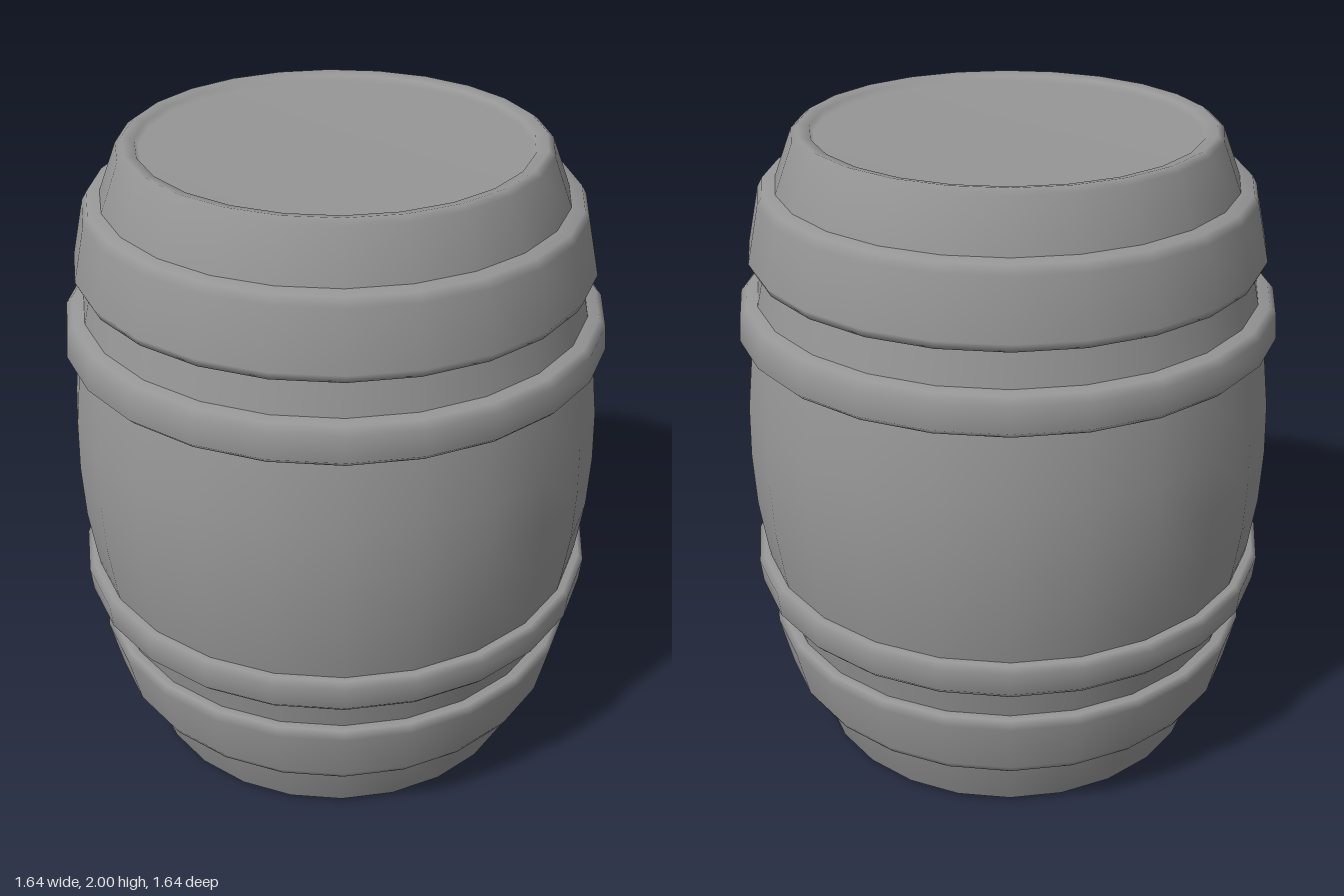
import * as THREE from 'three';

const SIDES = 24;
const material = new THREE.MeshStandardMaterial({ color: 0x969696 });

// Revolve a list of [radius, height] points, ordered so faces look outward.
function revolve(name, points) {
  const profile = points.map(([r, y]) => new THREE.Vector2(r, y));
  const mesh = new THREE.Mesh(new THREE.LatheGeometry(profile, SIDES), material);
  mesh.name = name;
  return mesh;
}

// Lower hoops repeat the upper ones, turned upside down.
const MIRROR = 2.04;
const flip = (points) => points.map(([r, y]) => [r, MIRROR - y]).reverse();

export function createModel() {
  const barrel = new THREE.Group();
  barrel.name = 'barrel';

  // Staved body: bulging outside, rounded rims, barely sunken head at each end
  const outside = [
    [0.63, 0.015], [0.69, 0.21], [0.735, 0.42], [0.765, 0.55], [0.79, 0.68],
    [0.812, 0.85], [0.818, 1.02], [0.812, 1.18], [0.79, 1.36],
    [0.765, 1.49], [0.735, 1.62], [0.69, 1.83], [0.63, 1.985],
  ];
  const lowerHead = [[0, 0.025], [0.565, 0.025], [0.575, 0.008], [0.61, 0]];
  const upperHead = lowerHead.map(([r, y]) => [r, 2 - y]).reverse();
  barrel.add(revolve('body', [...lowerHead, ...outside, ...upperHead]));

  // Wide sloping end hoop and narrow middle hoop
  const endHoop = [
    [0.72, 1.62], [0.765, 1.613], [0.778, 1.64], [0.74, 1.81],
    [0.725, 1.836], [0.67, 1.842],
  ];
  const middleHoop = [
    [0.76, 1.39], [0.805, 1.388], [0.822, 1.405], [0.815, 1.48],
    [0.795, 1.502], [0.74, 1.508],
  ];
  barrel.add(
    revolve('upperEndHoop', endHoop),
    revolve('upperMiddleHoop', middleHoop),
    revolve('lowerMiddleHoop', flip(middleHoop)),
    revolve('lowerEndHoop', flip(endHoop)),
  );
  return barrel;
}
